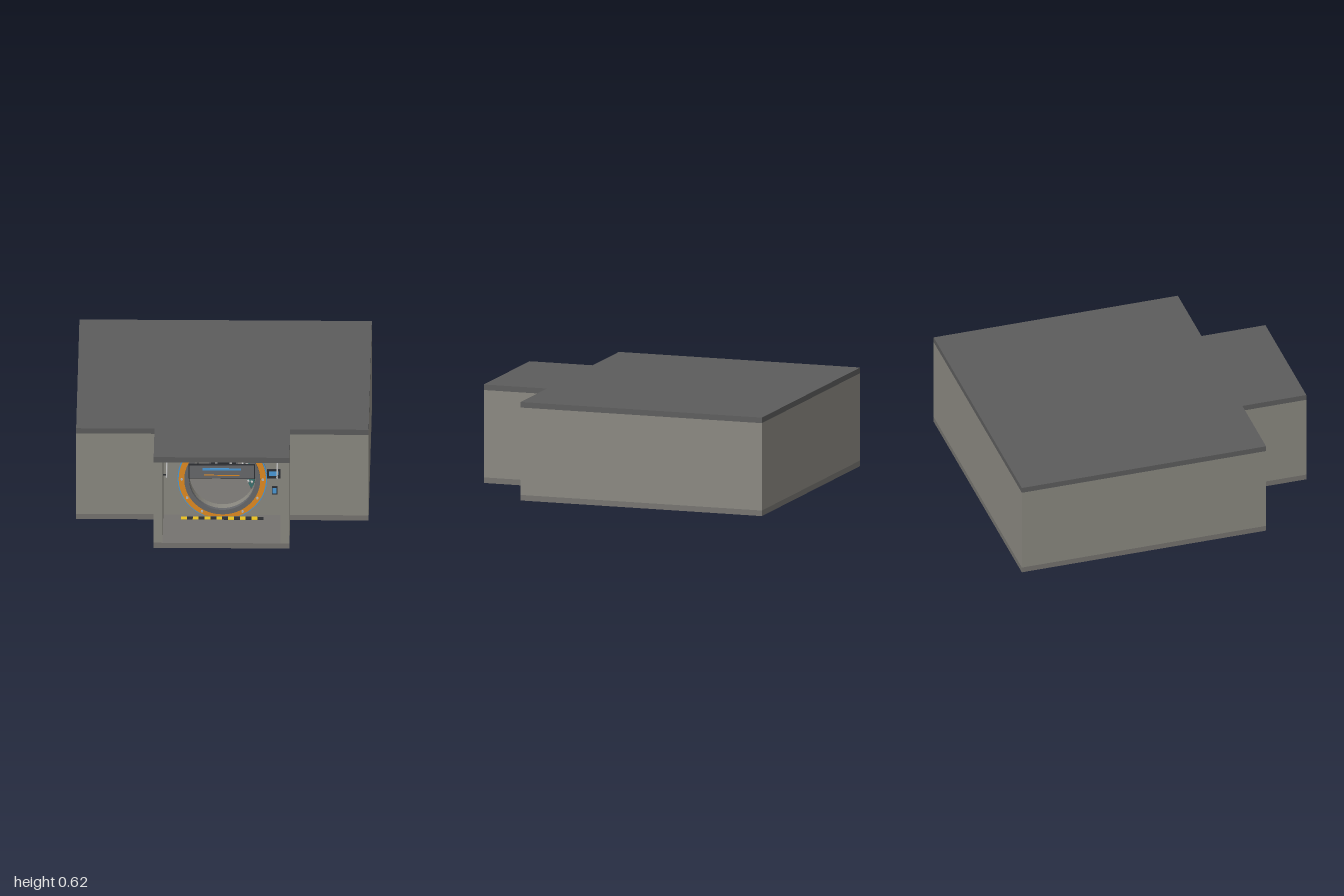
import * as THREE from 'three';

const mat = (color) => new THREE.MeshStandardMaterial({ color });
const M = {
  wall: mat(0x8a8880), slab: mat(0x5c5c5c), floor: mat(0x75736f), dark: mat(0x2b2d31),
  steel: mat(0x66676a), panel: mat(0x55565a), light: mat(0xb8b8b8), orange: mat(0xe08a20),
  yellow: mat(0xe8c020), blue: mat(0x4a9ad8), teal: mat(0x3f7a78),
};
const CY = 0.285, FRONT = 0.585, T = 0.055; // doorway height, bulkhead face, wall thickness

function add(parent, name, geo, material, x = 0, y = 0, z = 0) {
  const m = new THREE.Mesh(geo, material);
  m.name = name;
  m.position.set(x, y, z);
  parent.add(m);
  return m;
}
const box = (p, name, w, h, d, material, x, y, z) =>
  add(p, name, new THREE.BoxGeometry(w, h, d), material, x, y, z);

// Plan polygon of [x, z] points raised to a height
function plan(points, height) {
  const s = new THREE.Shape(points.map(([x, z]) => new THREE.Vector2(x, -z)));
  return new THREE.ExtrudeGeometry(s, { depth: height, bevelEnabled: false }).rotateX(-Math.PI / 2);
}

// Flat ring facing +z, cut off at the floor
function ring(outer, inner, depth) {
  const s = new THREE.Shape();
  const cut = 0.035 - CY;
  const a = outer > -cut ? Math.asin(cut / outer) : -Math.PI / 2;
  s.absarc(0, 0, outer, a, Math.PI - a, false);
  s.closePath();
  s.holes.push(new THREE.Path().absarc(0, 0, inner, 0, Math.PI * 2, true));
  return new THREE.ExtrudeGeometry(s, { depth, bevelEnabled: false, curveSegments: 48 });
}

function buildShell(g) {
  const outline = [[-0.905, -1], [0.905, -1], [0.905, FRONT], [0.42, FRONT], [0.42, 1],
    [-0.42, 1], [-0.42, FRONT], [-0.905, FRONT]];
  add(g, 'floor', plan(outline, 0.035), M.floor);
  add(g, 'ceiling', plan(outline, 0.035), M.slab, 0, 0.585, 0);

  // Walls follow the outline and stay open at the corridor mouth
  const outer = [[-0.42, 1], [-0.42, FRONT], [-0.905, FRONT], [-0.905, -1]];
  const inner = [[-0.905 + T, -1 + T], [-0.905 + T, FRONT - T], [-0.365, FRONT - T], [-0.365, 1]];
  const flip = (pts) => pts.map(([x, z]) => [-x, z]).reverse();
  add(g, 'walls', plan([...outer, ...flip(outer), ...flip(inner), ...inner], 0.55), M.wall, 0, 0.035, 0);

  // Bulkhead with the round doorway
  const s = new THREE.Shape();
  s.moveTo(-0.365, 0.035 - CY);
  s.lineTo(0.365, 0.035 - CY);
  s.lineTo(0.365, 0.585 - CY);
  s.lineTo(-0.365, 0.585 - CY);
  s.closePath();
  s.holes.push(new THREE.Path().absarc(0, 0, 0.205, 0, Math.PI * 2, true));
  add(g, 'bulkhead', new THREE.ExtrudeGeometry(s, { depth: T, bevelEnabled: false, curveSegments: 48 }),
    M.wall, 0, CY, FRONT - T);

  // Darker lower wall lining with a coloured stripe
  box(g, 'backLining', 1.7, 0.15, 0.006, M.steel, 0, 0.11, -0.942);
  box(g, 'backStripe', 1.7, 0.012, 0.008, M.orange, 0, 0.191, -0.941);
  for (const x of [-0.847, 0.847]) {
    box(g, 'sideLining', 0.006, 0.15, 1.47, M.steel, x, 0.11, -0.208);
    box(g, 'sideStripe', 0.008, 0.012, 1.47, M.orange, x, 0.191, -0.208);
  }
}

function buildDoorFrame(g) {
  const f = new THREE.Group();
  f.name = 'doorFrame';
  f.position.set(0, CY, FRONT);
  g.add(f);
  add(f, 'frameRim', ring(0.277, 0.268, 0.012), M.blue);
  add(f, 'frameBand', ring(0.27, 0.233, 0.018), M.orange);
  add(f, 'frameCollar', ring(0.235, 0.205, 0.028), M.steel);
  for (let i = 0; i < 12; i++) {
    const a = (i + 0.5) * Math.PI / 6 - Math.PI / 12;
    if (Math.sin(a) < -0.9) continue;
    add(f, 'frameBolt', new THREE.CylinderGeometry(0.008, 0.008, 0.01, 8).rotateX(Math.PI / 2),
      M.light, 0.251 * Math.cos(a), 0.251 * Math.sin(a), 0.021);
  }
}

function buildDoor(g) {
  // Hinged at the left jamb and swung into the room
  const d = new THREE.Group();
  d.name = 'vaultDoor';
  d.position.set(0.24, CY, 0.5);
  d.rotation.y = -1.36;
  g.add(d);
  const disc = (r, h) => new THREE.CylinderGeometry(r, r, h, 48).rotateX(Math.PI / 2);
  const c = -0.215;
  add(d, 'doorSlab', disc(0.203, 0.05), M.steel, c, 0, 0);
  add(d, 'doorFace', disc(0.18, 0.012), M.teal, c, 0, 0.028);
  add(d, 'doorBack', disc(0.17, 0.012), M.panel, c, 0, -0.028);
  add(d, 'wheelHub', disc(0.022, 0.04), M.light, c, 0, 0.05);
  add(d, 'wheelRim', new THREE.TorusGeometry(0.085, 0.006, 8, 32), M.light, c, 0, 0.062);
  for (let i = 0; i < 3; i++) {
    const spoke = box(d, 'wheelSpoke', 0.17, 0.008, 0.008, M.light, c, 0, 0.062);
    spoke.rotation.z = i * Math.PI / 3;
  }
  for (let i = 0; i < 8; i++) {
    const a = i * Math.PI / 4;
    add(d, 'doorBolt', disc(0.009, 0.012), M.light, c + 0.155 * Math.cos(a), 0.155 * Math.sin(a), 0.038);
  }
  for (const y of [-0.09, 0.09]) {
    box(d, 'hingeArm', 0.09, 0.03, 0.02, M.dark, -0.035, y, 0);
    add(d, 'hingePin', new THREE.CylinderGeometry(0.012, 0.012, 0.05, 12), M.dark, 0, y, 0);
  }
}

function buildSign(g) {
  const s = new THREE.Group();
  s.name = 'hangingSign';
  s.position.set(0, 0.4875, 0.92);
  g.add(s);
  box(s, 'signEdge', 0.41, 0.095, 0.016, M.dark, 0, 0, -0.002);
  box(s, 'signPlate', 0.4, 0.086, 0.016, M.steel, 0, 0, 0.001);
  box(s, 'signBlueBar', 0.24, 0.014, 0.003, M.blue, 0, 0.019, 0.009);
  box(s, 'signOrangeBar', 0.22, 0.006, 0.003, M.orange, 0, -0.022, 0.009);
  for (const x of [-0.145, 0.145])
    add(s, 'signRod', new THREE.CylinderGeometry(0.003, 0.003, 0.05, 8), M.dark, x, 0.0725, 0);
}

function buildFittings(g) {
  // Slim rails along the corridor walls
  for (const x of [-0.342, 0.342]) {
    add(g, 'wallRail', new THREE.CylinderGeometry(0.005, 0.005, 0.27, 8).rotateX(Math.PI / 2),
      M.light, x, 0.42, 0.735);
    for (const z of [0.64, 0.83]) box(g, 'railBracket', 0.025, 0.005, 0.008, M.dark, x + Math.sign(x) * 0.012, 0.42, z);
  }

  // Keypad and card reader beside the doorway
  box(g, 'keypadCase', 0.085, 0.056, 0.02, M.dark, 0.318, 0.322, 0.595);
  box(g, 'keypadScreen', 0.06, 0.028, 0.004, M.blue, 0.318, 0.326, 0.606);
  box(g, 'readerCase', 0.034, 0.052, 0.016, M.dark, 0.323, 0.206, 0.592);
  box(g, 'readerScreen', 0.024, 0.038, 0.004, M.blue, 0.323, 0.207, 0.601);

  // Striped threshold
  for (let i = 0; i < 14; i++)
    box(g, 'thresholdStripe', 0.0364, 0.003, 0.04, i % 2 ? M.dark : M.yellow, -0.237 + i * 0.0364, 0.0365, 0.64);

  // Stacked cases inside the room
  for (const [y, h] of [[0.035, 0.06], [0.098, 0.06]]) {
    const c = new THREE.Group();
    c.name = 'storageCase';
    c.position.set(0, y, 0);
    g.add(c);
    box(c, 'caseBody', 0.17, h, 0.11, M.dark, 0, h / 2, 0);
    box(c, 'caseLid', 0.178, 0.012, 0.116, M.panel, 0, h - 0.004, 0);
    for (const x of [-0.045, 0.045]) box(c, 'caseLatch', 0.014, 0.022, 0.008, M.light, x, h * 0.6, 0.058);
    for (const x of [-0.083, 0.083])
      for (const z of [-0.053, 0.053]) box(c, 'caseCorner', 0.012, h, 0.012, M.steel, x, h / 2, z);
  }
}

export function createModel() {
  const g = new THREE.Group();
  g.name = 'vaultRoom';
  buildShell(g);
  buildDoorFrame(g);
  buildDoor(g);
  buildSign(g);
  buildFittings(g);
  return g;
}
